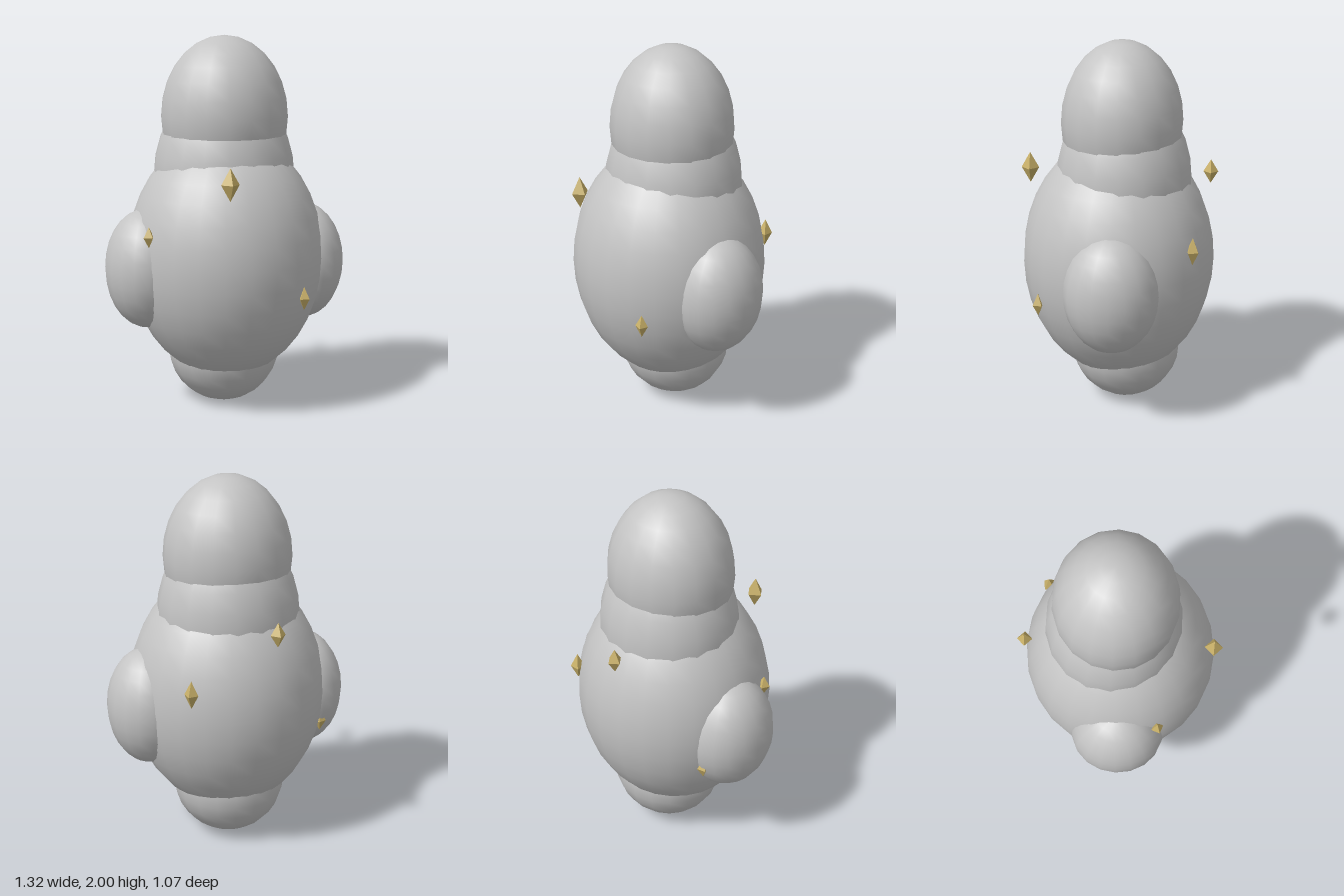
import * as THREE from 'three';

export function createModel() {
  const model = new THREE.Group();
  const stone = new THREE.MeshStandardMaterial({ color: 0xc4c4c4 });
  stone.name = 'pale grey';
  const gold = new THREE.MeshStandardMaterial({ color: 0xc8b068 });
  gold.name = 'soft gold';

  // Smooth ellipsoid: centre, radii, segment counts
  function blob(name, [x, y, z], [rx, ry, rz], ws = 18, hs = 14) {
    const g = new THREE.SphereGeometry(1, ws, hs);
    g.scale(rx, ry, rz);
    const m = new THREE.Mesh(g, stone);
    m.name = name;
    m.position.set(x, y, z);
    model.add(m);
    return m;
  }

  // Stacked rounded masses
  blob('base', [0, 0.305, -0.045], [0.305, 0.305, 0.3]);
  blob('body', [0, 0.82, -0.005], [0.53, 0.67, 0.517], 24, 18);
  blob('neck', [0, 1.25, -0.035], [0.382, 0.49, 0.363]);
  blob('head', [0, 1.57, -0.025], [0.342, 0.43, 0.323]);

  // Side lobes
  for (const s of [1, -1]) {
    blob(s > 0 ? 'leftLobe' : 'rightLobe', [s * 0.44, 0.77, 0], [0.22, 0.32, 0.25]);
  }

  // Floating crystals: x, y, z, half width, half height, turned to face outward
  const crystals = [
    [-0.11, 1.272, 0.485, 0.048, 0.085, false],
    [-0.11, 1.272, -0.495, 0.04, 0.066, false],
    [-0.47, 0.975, 0.215, 0.034, 0.055, true],
    [0.322, 0.97, -0.412, 0.038, 0.075, true],
    [0.315, 0.645, 0.398, 0.034, 0.062, true],
    [-0.47, 0.64, -0.21, 0.034, 0.058, true],
  ];
  crystals.forEach(([x, y, z, w, h, turned], i) => {
    const m = new THREE.Mesh(new THREE.OctahedronGeometry(1), gold);
    m.name = 'crystal' + (i + 1);
    m.scale.set(w, h, w);
    m.position.set(x, y, z);
    if (turned) m.rotation.y = Math.atan2(x, z);
    model.add(m);
  });

  return model;
}
